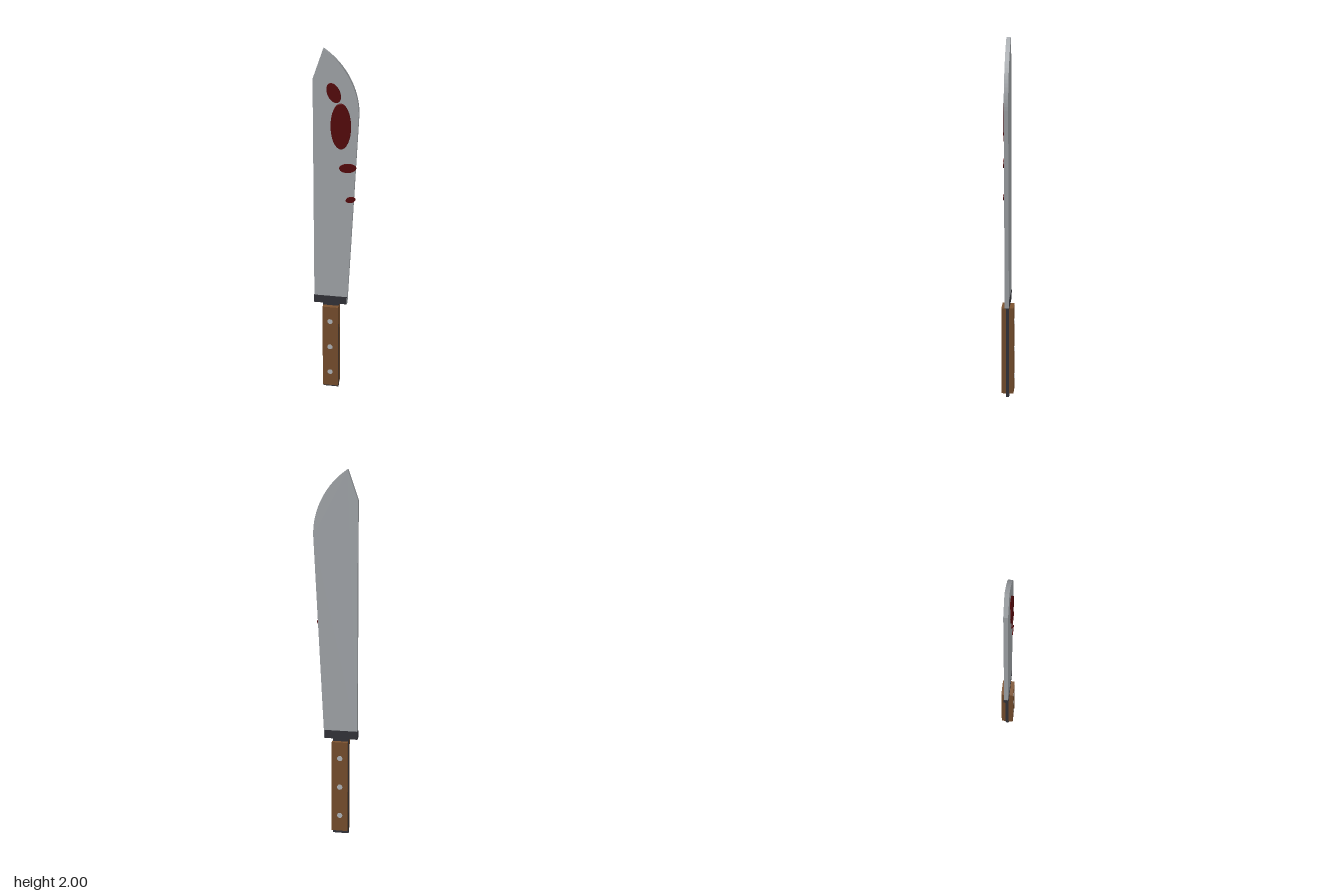
import * as THREE from 'three';

const material = (name, color) => {
  const m = new THREE.MeshStandardMaterial({ color });
  m.name = name;
  return m;
};

export function createModel() {
  const steel = material('steel', 0xabafb3);
  const dark = material('dark metal', 0x36363c);
  const wood = material('wood', 0x7d5330);
  const pin = material('rivet metal', 0xbcc0c4);
  const red = material('dark red', 0x5a0a0c);

  const model = new THREE.Group();
  model.name = 'machete';
  const zMid = -0.0013;

  const add = (name, geometry, mat, x, y, z) => {
    const mesh = new THREE.Mesh(geometry, mat);
    mesh.name = name;
    mesh.position.set(x, y, z);
    model.add(mesh);
    return mesh;
  };
  const box = (name, mat, x0, x1, y0, y1, depth, z = zMid) =>
    add(name, new THREE.BoxGeometry(x1 - x0, y1 - y0, depth), mat, (x0 + x1) / 2, (y0 + y1) / 2, z);

  // Blade: straight spine, clipped tip and a curved belly
  const outline = new THREE.Shape();
  outline.moveTo(-0.121, 0.547);
  outline.lineTo(0.061, 0.547);
  outline.lineTo(0.118, 1.65);
  outline.bezierCurveTo(0.122, 1.78, 0.055, 1.92, -0.066, 2.0);
  outline.lineTo(-0.121, 1.84);
  outline.closePath();
  const bladeDepth = 0.023;
  const bladeGeometry = new THREE.ExtrudeGeometry(outline, {
    depth: bladeDepth, bevelEnabled: false, curveSegments: 20,
  });
  add('blade', bladeGeometry, steel, 0, 0, zMid - bladeDepth / 2);

  // Collar and tang
  box('collar', dark, -0.123, 0.06, 0.545, 0.59, 0.027);
  box('tang', dark, -0.073, 0.013, 0, 0.547, 0.018);

  // Wooden grip scales and rivets on both sides
  for (const side of [1, -1]) {
    box('gripScale', wood, -0.072, 0.015, 0.022, 0.53, 0.025, zMid + side * 0.0209);
    for (const y of [0.111, 0.275, 0.439]) {
      const rivet = add('rivet', new THREE.CylinderGeometry(0.015, 0.015, 0.004, 12), pin,
        -0.03, y, zMid + side * 0.0331);
      rivet.rotation.x = Math.PI / 2;
    }
  }

  // Thin stains on the front of the blade: x, y, half width, half height, tilt, thickness
  const stains = [
    [0.025, 1.59, 0.054, 0.127, 0, 0.007],
    [-0.012, 1.77, 0.034, 0.056, 0.4, 0.005],
    [0.062, 1.36, 0.046, 0.026, 0.1, 0.005],
    [0.078, 1.18, 0.027, 0.017, 0.3, 0.005],
  ];
  for (const [x, y, rx, ry, tilt, depth] of stains) {
    const disc = new THREE.CylinderGeometry(0.97, 1, depth, 32).rotateX(Math.PI / 2).scale(rx, ry, 1);
    const stain = add('stain', disc, red, x, y, zMid + (bladeDepth + depth) / 2 - 0.0005);
    stain.rotation.z = tilt;
  }

  return model;
}
